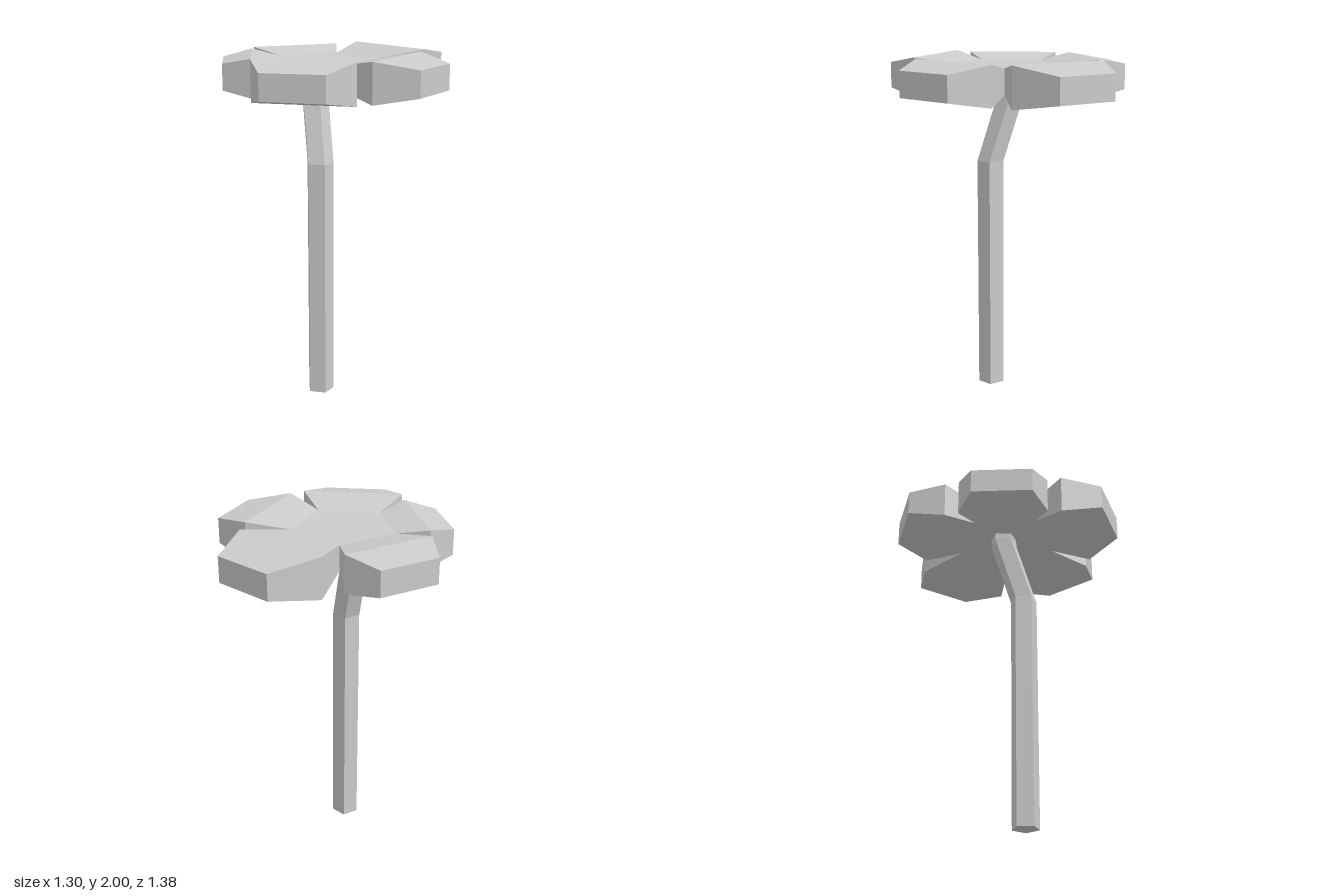
import * as THREE from 'three';

const material = new THREE.MeshStandardMaterial({ color: 0xcccccc, flatShading: true, side: THREE.DoubleSide });

// Skins a list of equal-length rings, each counterclockwise seen from the end, and caps both ends
function loft(rings) {
  const n = rings[0].length;
  const positions = [];
  const tri = (a, b, c) => positions.push(...a, ...b, ...c);
  for (let r = 0; r < rings.length - 1; r++) {
    const a = rings[r], b = rings[r + 1];
    for (let i = 0; i < n; i++) {
      const j = (i + 1) % n;
      tri(a[i], a[j], b[j]);
      tri(a[i], b[j], b[i]);
    }
  }
  const first = rings[0], last = rings[rings.length - 1];
  for (let i = 1; i < n - 1; i++) {
    tri(first[0], first[i + 1], first[i]);
    tri(last[0], last[i], last[i + 1]);
  }
  const geometry = new THREE.BufferGeometry();
  geometry.setAttribute('position', new THREE.Float32BufferAttribute(positions, 3));
  geometry.computeVertexNormals();
  return geometry;
}

function addMesh(parent, name, geometry) {
  const mesh = new THREE.Mesh(geometry, material);
  mesh.name = name;
  parent.add(mesh);
  return mesh;
}

export function createModel() {
  const model = new THREE.Group();
  model.name = 'flower';

  // Five-sided stem, bent back and sideways near the top
  const stemPath = [
    [-0.063, 0, 0.14],
    [-0.063, 1.39, 0.14],
    [-0.12, 1.775, 0.034],
    [-0.12, 1.83, 0.034],
  ];
  const stemRings = stemPath.map(([x, y, z]) =>
    Array.from({ length: 5 }, (_, i) => {
      const t = Math.PI + (i * Math.PI * 2) / 5;
      return [x + 0.08 * Math.sin(t), y, z + 0.08 * Math.cos(t)];
    }));
  addMesh(model, 'stem', loft(stemRings));

  // Flower head
  const head = new THREE.Group();
  head.name = 'flowerHead';
  head.position.set(-0.0625, 1.885, 0.028);
  model.add(head);

  const radius = 0.298, rim = 0.0725;
  addMesh(head, 'flowerCentre',
    new THREE.CylinderGeometry(radius, radius, rim * 2, 5, 1, false, Math.PI));

  // Petals swell from the edge of the centre to a ridge, then thin out again
  const apothem = radius * Math.cos(Math.PI / 5);
  const half = radius * Math.sin(Math.PI / 5);
  const petals = [
    { ridge: 0.45, width: 0.286, tip: 0.662, thick: 0.115 },
    { ridge: 0.465, width: 0.276, tip: 0.691, thick: 0.113 },
    { ridge: 0.503, width: 0.293, tip: 0.766, thick: 0.115 },
    { ridge: 0.444, width: 0.263, tip: 0.641, thick: 0.107 },
    { ridge: 0.402, width: 0.26, tip: 0.562, thick: 0.107 },
  ];
  const section = (w, h, z) => [[-w, -h, z], [w, -h, z], [w, h, z], [-w, h, z]];
  petals.forEach(({ ridge, width, tip, thick }, i) => {
    const petal = addMesh(head, 'petal' + (i + 1), loft([
      section(half, rim, apothem),
      section(width, thick, ridge),
      section(half, rim, tip),
    ]));
    petal.rotation.y = (i * Math.PI * 2) / 5;
  });

  return model;
}
